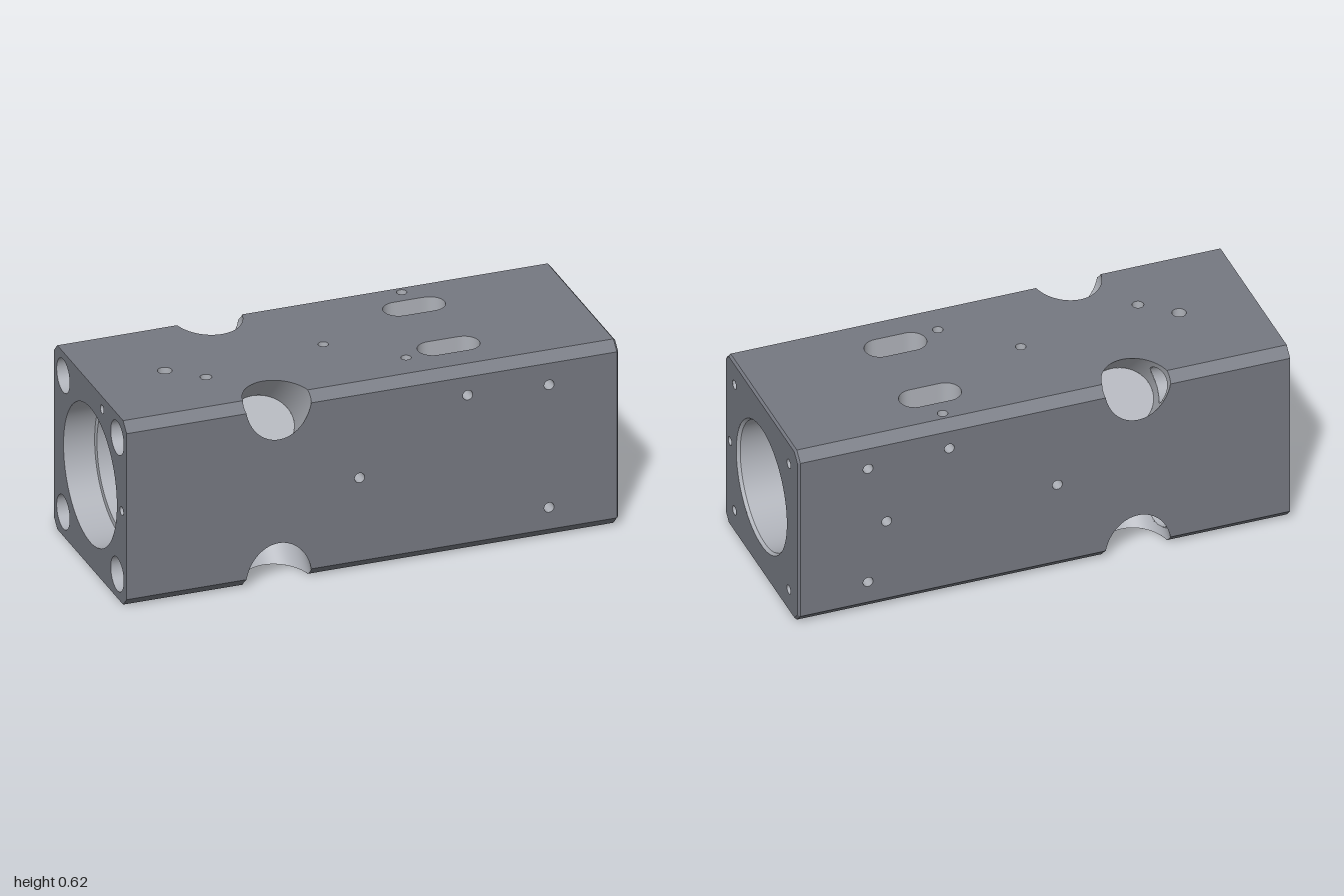
import * as THREE from 'three';

const H = 0.3075, X0 = -1, X1 = 0.585;      // half section, block ends
const BEVEL = 0.007, XB = X1 - BEVEL;        // bevel around the right end
const FLAT = H - 0.03;                       // half width of a side between chamfers
const BORE = 0.205, BORE_X = -0.35;          // main bore radius and its inner end
const NX = -0.51, NA = 0.107, NB = 0.095;    // notch centre and half widths
const FLOOR = 0.213;                         // notch floor, distance from the axis
const CHAMFER = (H + FLAT) / Math.SQRT2;     // chamfer, distance from the axis
const BOLT = 0.228 * Math.SQRT2, BOLT_R = 0.055;

const outer = new THREE.MeshStandardMaterial({ color: 0x757881, side: THREE.DoubleSide });
const inner = new THREE.MeshStandardMaterial({ color: 0xaeb1b8, side: THREE.DoubleSide });

function add(parent, name, geometry, material = inner) {
  const mesh = new THREE.Mesh(geometry, material);
  mesh.name = name;
  parent.add(mesh);
  return mesh;
}

// Side holes: x, v across the side, radius, half straight length, blind depth
const hole = (x, v, r = 0.016, h = 0, blind = 0) => ({ x, v, r, h, blind });
const slots = [hole(0.098, 0.145, 0.048, 0.05), hole(0.098, -0.145, 0.048, 0.05)];
const screws = [hole(0.36, 0.205), hole(0.36, -0.205), hole(-0.25, 0)];
const sides = [
  { name: 'front', turn: 0, holes: [...screws, hole(0.098, 0.216)] },
  { name: 'bottom', turn: 1, holes: [...slots, hole(-0.25, 0), hole(0.098, -0.25), hole(-0.05, 0.175)] },
  { name: 'back', turn: 2, holes: [...screws, hole(0.098, -0.216), hole(0.3, 0, 0.016, 0, 0.07)] },
  { name: 'top', turn: 3, holes: [...slots, hole(-0.25, 0), hole(0.098, 0.25), hole(-0.05, -0.175),
    hole(-0.76, 0, 0.022, 0, 0.07), hole(-0.66, -0.085, 0.018, 0, 0.07)] },
];

// Closed outline of a round hole or a slot with finely divided straights
function outline({ x, v, r, h }, n = 32) {
  const pts = [];
  for (let i = 0; i < n; i++) {
    const t = (i + 0.5) / n * Math.PI * 2, sx = Math.sign(Math.cos(t));
    pts.push(new THREE.Vector2(x + sx * h + r * Math.cos(t), v + r * Math.sin(t)));
    if (h && (i === n / 4 - 1 || i === n * 3 / 4 - 1))
      for (let k = 1; k < 16; k++)
        pts.push(new THREE.Vector2(x + sx * h * (1 - k / 8), v + r * Math.sign(Math.sin(t))));
  }
  return pts;
}

// True where a point of the block lies in a through hole of any side but the skipped one
function pierced(c, skip) {
  return sides.some(({ turn, holes }) => {
    if (turn === skip) return false;
    const a = turn * Math.PI / 2, cs = Math.cos(a), sn = Math.sin(a);
    const v = c.y * cs + c.z * sn, s = c.z * cs - c.y * sn;
    return s > 0 && holes.some(o => !o.blind &&
      Math.hypot(Math.max(Math.abs(c.x - o.x) - o.h, 0), v - o.v) < o.r);
  });
}

// Remove the triangles whose centre passes a test
function cut(geometry, test) {
  const p = geometry.attributes.position, old = geometry.index.array, kept = [];
  const c = new THREE.Vector3(), q = new THREE.Vector3();
  for (let i = 0; i < old.length; i += 3) {
    c.set(0, 0, 0);
    for (let k = 0; k < 3; k++) c.add(q.fromBufferAttribute(p, old[i + k]));
    if (!test(c.divideScalar(3))) kept.push(old[i], old[i + 1], old[i + 2]);
  }
  geometry.setIndex(kept);
  return geometry;
}

// Skin between closed rings of points, from the first ring inward
function loft(rings) {
  const n = rings[0].length, idx = [];
  for (let j = 1; j < rings.length; j++)
    for (let i = 0; i < n; i++) {
      const a = (j - 1) * n + i, b = (j - 1) * n + (i + 1) % n;
      idx.push(a, b, a + n, b, b + n, a + n);
    }
  const g = new THREE.BufferGeometry().setFromPoints(rings.flat());
  g.setIndex(idx);
  g.computeVertexNormals();
  return g;
}

// Wall of a side hole, running down to the bore, to mid-block or to a blind floor
function holeWall(o, turn) {
  const rows = o.h ? 60 : 24, rings = [], axis = new THREE.Vector3(1, 0, 0);
  for (let j = 0; j <= rows; j++)
    rings.push(outline(o).map(p => {
      const depth = o.blind ? H - o.blind : Math.sqrt(Math.max(BORE ** 2 - p.y ** 2, 0));
      return new THREE.Vector3(p.x, p.y, THREE.MathUtils.lerp(H, depth, j / rows));
    }));
  return cut(loft(rings), c => pierced(c.applyAxisAngle(axis, turn * Math.PI / 2), turn));
}

// Flat side with two notched long edges
function sidePanel(holes) {
  const b = NB * Math.SQRT2, t0 = Math.asin((H - FLAT) / b), arc = [];
  for (let i = 0; i <= 32; i++) {
    const t = Math.PI - t0 - i / 32 * (Math.PI - 2 * t0);
    arc.push(new THREE.Vector2(NX + NA * Math.cos(t), -H + b * Math.sin(t)));
  }
  const V = (x, y) => new THREE.Vector2(x, y);
  const shape = new THREE.Shape([V(X0, -FLAT), ...arc, V(XB, -FLAT), V(XB, FLAT),
    ...arc.map(p => V(p.x, -p.y)).reverse(), V(X0, FLAT)]);
  shape.holes = holes.map(o => new THREE.Path(outline(o)));
  return new THREE.ShapeGeometry(shape);
}

const notchX = w => NX - NA * Math.sqrt(1 - (w / NB) ** 2);

// Chamfered corner with its diagonal notch and bolt bore
function corner() {
  const g = new THREE.Group(), w = (H - FLAT) / Math.SQRT2;
  for (const [end, s] of [[X0, 1], [XB, -1]]) {
    const pts = [new THREE.Vector2(end, -w), new THREE.Vector2(end, w)];
    for (let i = 4; i >= -4; i--) {
      const v = w * i / 4;
      pts.push(new THREE.Vector2(NX + s * (notchX(v) - NX), v));
    }
    add(g, 'chamfer', new THREE.ShapeGeometry(new THREE.Shape(pts)), outer).position.z = CHAMFER;
  }
  const wall = new THREE.CylinderGeometry(1, 1, 1, 128, 36, true), p = wall.attributes.position;
  for (let i = 0; i < p.count; i++) {
    const v = NB * p.getZ(i), top = Math.min(CHAMFER, H * Math.SQRT2 - Math.abs(v));
    p.setXYZ(i, NX + NA * p.getX(i), v, THREE.MathUtils.lerp(FLOOR, top, p.getY(i) + 0.5));
  }
  wall.computeVertexNormals();
  add(g, 'notchWall', cut(wall, c => c.x < NX && Math.hypot(c.y, c.z - BOLT) < BOLT_R));
  const floor = add(g, 'notchFloor', new THREE.CircleGeometry(1, 48));
  floor.scale.set(NA, NB, 1);
  floor.position.set(NX, 0, FLOOR);
  // bolt bore, its inner end trimmed to the notch wall
  const ring = outline(hole(0, 0, BOLT_R));
  const bolt = loft([ring.map(q => new THREE.Vector3(X0, q.x, BOLT + q.y)),
    ring.map(q => new THREE.Vector3(notchX(q.x), q.x, BOLT + q.y))]);
  add(g, 'boltBore', bolt);
  return g;
}

// Octagonal section, drawn in by an inset
function octagon(inset) {
  const h = H - inset, f = FLAT - inset * 0.414;
  return [[f, h], [-f, h], [-h, f], [-h, -f], [-f, -h], [f, -h], [h, -f], [h, f]]
    .map(([a, b]) => new THREE.Vector2(a, b));
}

// End plate: octagon with a bore and round holes [z, y, radius]; some are blind screw holes
function endFace(name, x, dir, inset, bore, holes, blind) {
  const g = new THREE.Group();
  g.name = name;
  const shape = new THREE.Shape(octagon(inset));
  for (const [z, y, r] of [[0, 0, bore], ...holes, ...blind])
    shape.holes.push(new THREE.Path(outline(hole(-dir * z, y, r), r > 0.1 ? 96 : 32)));
  add(g, 'endPlate', new THREE.ShapeGeometry(shape), outer);
  if (inset) {
    const rings = [inset, 0].map(d => octagon(d).map(q => new THREE.Vector3(q.x, q.y, -inset + d)));
    const bevel = loft(rings.reverse()).toNonIndexed();
    bevel.computeVertexNormals();
    add(g, 'endBevel', bevel, outer);
  }
  for (const [z, y, r] of blind) {
    const tube = new THREE.CylinderGeometry(r, r, 0.1, 24, 1, true).rotateX(Math.PI / 2);
    add(g, 'screwHole', tube).position.set(-dir * z, y, -0.05);
    add(g, 'screwHoleFloor', new THREE.CircleGeometry(r, 24)).position.set(-dir * z, y, -0.1);
  }
  g.rotation.y = dir * Math.PI / 2;
  g.position.x = x;
  return g;
}

export function createModel() {
  const model = new THREE.Group(), body = new THREE.Group();
  body.name = 'housing';
  body.position.y = H;
  model.add(body);

  // Four sides with holes, four notched corners
  for (const { name, turn, holes } of sides) {
    const g = new THREE.Group(), c = corner();
    g.name = name + 'Side';
    g.rotation.x = turn * Math.PI / 2;
    add(g, name + 'Panel', sidePanel(holes), outer).position.z = H;
    for (const o of holes) {
      add(g, o.h ? 'slotWall' : 'holeWall', holeWall(o, turn));
      if (o.blind) add(g, 'holeFloor', new THREE.CircleGeometry(o.r, 24)).position.set(o.x, o.v, H - o.blind);
    }
    c.name = 'notchedCorner';
    c.rotation.x = (turn + 0.5) * Math.PI / 2;
    body.add(g, c);
  }

  // Ends
  const around = (d, r) => [[d, d, r], [-d, d, r], [d, -d, r], [-d, -d, r]];
  body.add(endFace('rightEnd', X1, 1, BEVEL, 0.212, [], [...around(0.228, 0.015), [0.265, 0, 0.014]]));
  body.add(endFace('leftEnd', X0, -1, 0, 0.225, around(0.228, BOLT_R), [[0.265, 0, 0.014], [0.1, 0.265, 0.014]]));

  // Main bore, opened where side holes break through
  const length = 0.575 - BORE_X;
  const bore = new THREE.CylinderGeometry(BORE, BORE, length, 160, 90, true).rotateZ(-Math.PI / 2);
  bore.translate(BORE_X + length / 2, 0, 0);
  add(body, 'mainBore', cut(bore, c => pierced(c)));

  // Stepped bore [radius, x], one band per step to keep edges sharp
  const steps = [[0.225, X0], [0.225, -0.9], [BORE, -0.9], [BORE, -0.7], [0.128, -0.7], [0.128, -0.6],
    [0.175, -0.6], [0.175, BORE_X], [BORE, BORE_X]];
  const lip = [[BORE, 0.575], [0.212, X1]];
  for (const profile of [steps, lip])
    for (let i = 1; i < profile.length; i++) {
      const band = profile.slice(i - 1, i + 1).map(([r, x]) => new THREE.Vector2(r, x));
      add(body, 'boreStep', new THREE.LatheGeometry(band, 96).rotateZ(-Math.PI / 2));
    }
  return model;
}
